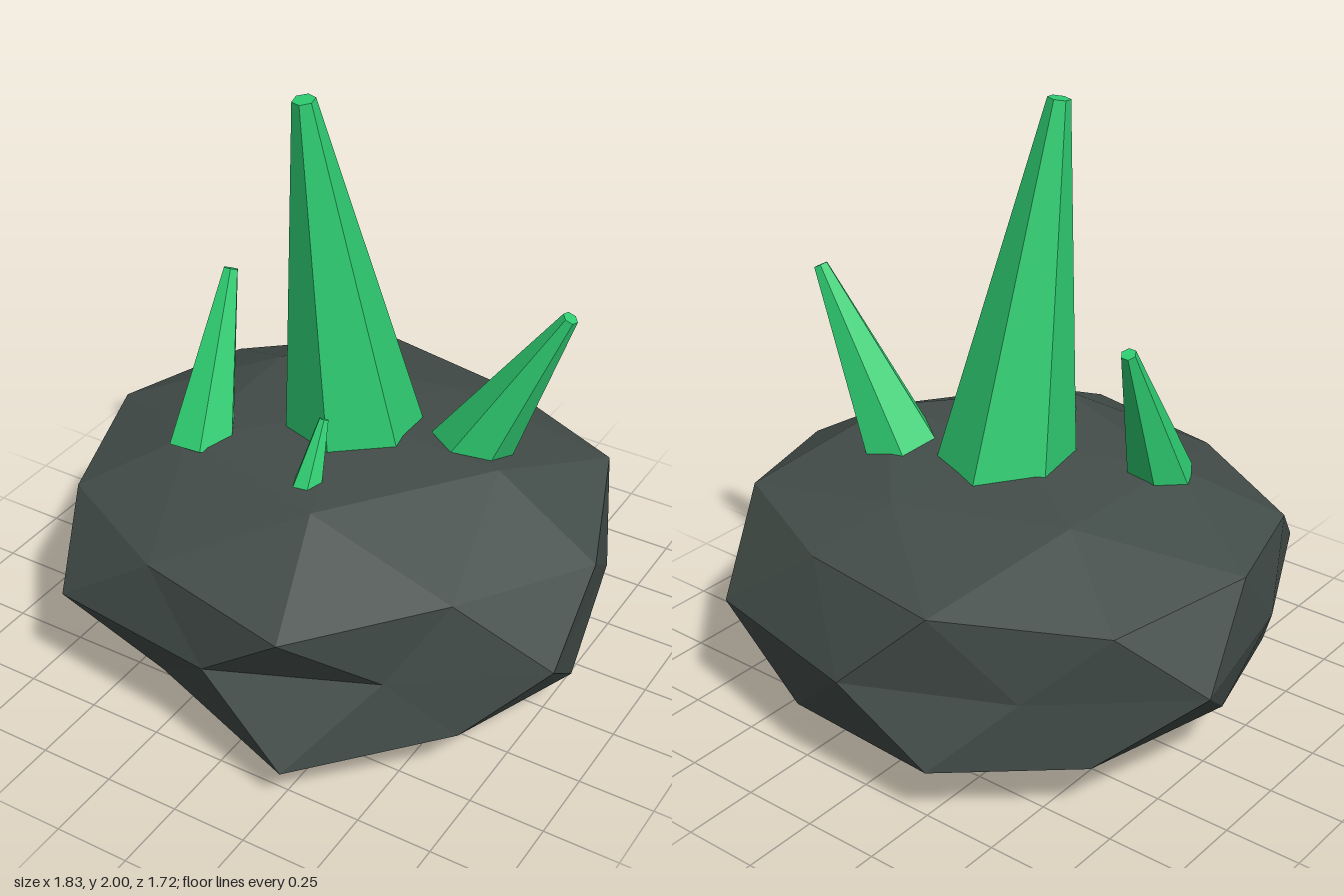
import * as THREE from 'three';

const stone = new THREE.MeshStandardMaterial({ color: 0x434d49, flatShading: true });
stone.name = 'darkStone';
const green = new THREE.MeshStandardMaterial({ color: 0x2ecc71, flatShading: true });
green.name = 'greenCrystal';

// Rock: an irregular icosphere, given as rings of points from top to bottom
function rockGeometry() {
  const top = [0, 0.88, 0], bottom = [0, 0, 0];
  const crown = [[0.55, 0.86, 0], [0.17, 0.85, 0.48], [-0.41, 0.82, 0.29], [-0.41, 0.83, -0.26], [0.15, 0.8, -0.43]];
  const upper = [[0.9, 0.65, 0.02], [0.29, 0.66, 0.86], [-0.7, 0.65, 0.5], [-0.72, 0.66, -0.46], [0.25, 0.69, -0.68]];
  const upperMid = [[0.65, 0.69, 0.47], [-0.24, 0.67, 0.75], [-0.85, 0.69, 0.03], [-0.27, 0.7, -0.76], [0.72, 0.7, -0.46]];
  const waist = [
    [0.91, 0.43, 0.3], [0.5, 0.43, 0.61], [0, 0.43, 0.83], [-0.58, 0.43, 0.76], [-0.81, 0.43, 0.27],
    [-0.92, 0.43, -0.25], [-0.5, 0.43, -0.62], [0, 0.43, -0.86], [0.6, 0.43, -0.73], [0.82, 0.43, -0.27],
  ];
  const lowerMid = [[0.84, 0.18, 0], [0.28, 0.15, 0.84], [-0.66, 0.18, 0.48], [-0.66, 0.2, -0.48], [0.26, 0.2, -0.77]];
  const lower = [[0.69, 0.22, 0.48], [-0.23, 0.25, 0.72], [-0.81, 0.23, 0], [-0.29, 0.2, -0.8], [0.67, 0.21, -0.46]];
  const base = [[0.41, 0.03, 0.29], [-0.16, 0.01, 0.49], [-0.47, 0.06, 0], [-0.15, 0.04, -0.4], [0.41, 0.04, -0.29]];

  const positions = [];
  const centre = new THREE.Vector3(0, 0.43, 0);
  // Adds a triangle, turned so that it faces outward
  const face = (...points) => {
    const [a, b, c] = points.map((p) => new THREE.Vector3(...p));
    const normal = b.clone().sub(a).cross(c.clone().sub(a));
    const out = a.clone().add(b).add(c).divideScalar(3).sub(centre);
    const order = normal.dot(out) > 0 ? [a, b, c] : [a, c, b];
    order.forEach((v) => positions.push(v.x, v.y, v.z));
  };

  for (let i = 0; i < 5; i++) {
    const j = (i + 1) % 5, h = (i + 4) % 5;
    const w0 = waist[(2 * i + 9) % 10], w1 = waist[2 * i], w2 = waist[2 * i + 1];
    // Top cap
    face(top, crown[i], crown[j]);
    face(crown[i], upper[i], upperMid[i]);
    face(crown[i], upperMid[i], crown[j]);
    face(crown[j], upperMid[i], upper[j]);
    // Sides
    face(upper[i], w1, upperMid[i]);
    face(upperMid[i], w1, w2);
    face(upperMid[i], w2, upper[j]);
    face(w1, lower[i], w2);
    face(upper[i], w0, w1);
    face(w0, lower[h], lowerMid[i]);
    face(w0, lowerMid[i], w1);
    face(w1, lowerMid[i], lower[i]);
    // Underside
    face(bottom, base[i], base[j]);
    face(base[i], lower[i], lowerMid[j]);
    face(base[i], lowerMid[j], base[j]);
    face(base[j], lowerMid[j], lower[j]);
  }
  const geometry = new THREE.BufferGeometry();
  geometry.setAttribute('position', new THREE.Float32BufferAttribute(positions, 3));
  geometry.computeVertexNormals();
  return geometry;
}

// Crystal: a tapered six-sided shaft leaning from foot to tip, its root sunk in the rock
function crystal(name, foot, tip, footRadius, tipRadius, turn, sink) {
  const a = new THREE.Vector3(...foot), b = new THREE.Vector3(...tip);
  const axis = b.clone().sub(a), length = axis.length();
  axis.normalize();
  const rootRadius = footRadius + ((footRadius - tipRadius) * sink) / length;
  const geometry = new THREE.CylinderGeometry(tipRadius, rootRadius, length + sink, 6);
  geometry.rotateY(THREE.MathUtils.degToRad(turn));
  geometry.translate(0, (length - sink) / 2, 0);
  const mesh = new THREE.Mesh(geometry, green);
  mesh.name = name;
  mesh.position.copy(a);
  mesh.quaternion.setFromUnitVectors(new THREE.Vector3(0, 1, 0), axis);
  return mesh;
}

export function createModel() {
  const model = new THREE.Group();
  model.name = 'crystalRock';
  const rock = new THREE.Mesh(rockGeometry(), stone);
  rock.name = 'rock';
  model.add(
    rock,
    crystal('mainCrystal', [0.02, 0.87, -0.01], [-0.06, 1.995, 0.13], 0.215, 0.036, 10, 0.08),
    crystal('leftCrystal', [0.415, 0.86, -0.12], [0.69, 1.37, -0.14], 0.12, 0.025, -15, 0.08),
    crystal('rightCrystal', [-0.382, 0.83, 0.235], [-0.41, 1.3, 0.02], 0.105, 0.025, 30, 0.06),
    crystal('smallCrystal', [0.076, 0.86, 0.335], [0.076, 1.025, 0.25], 0.045, 0.016, 30, 0.04),
  );
  return model;
}
